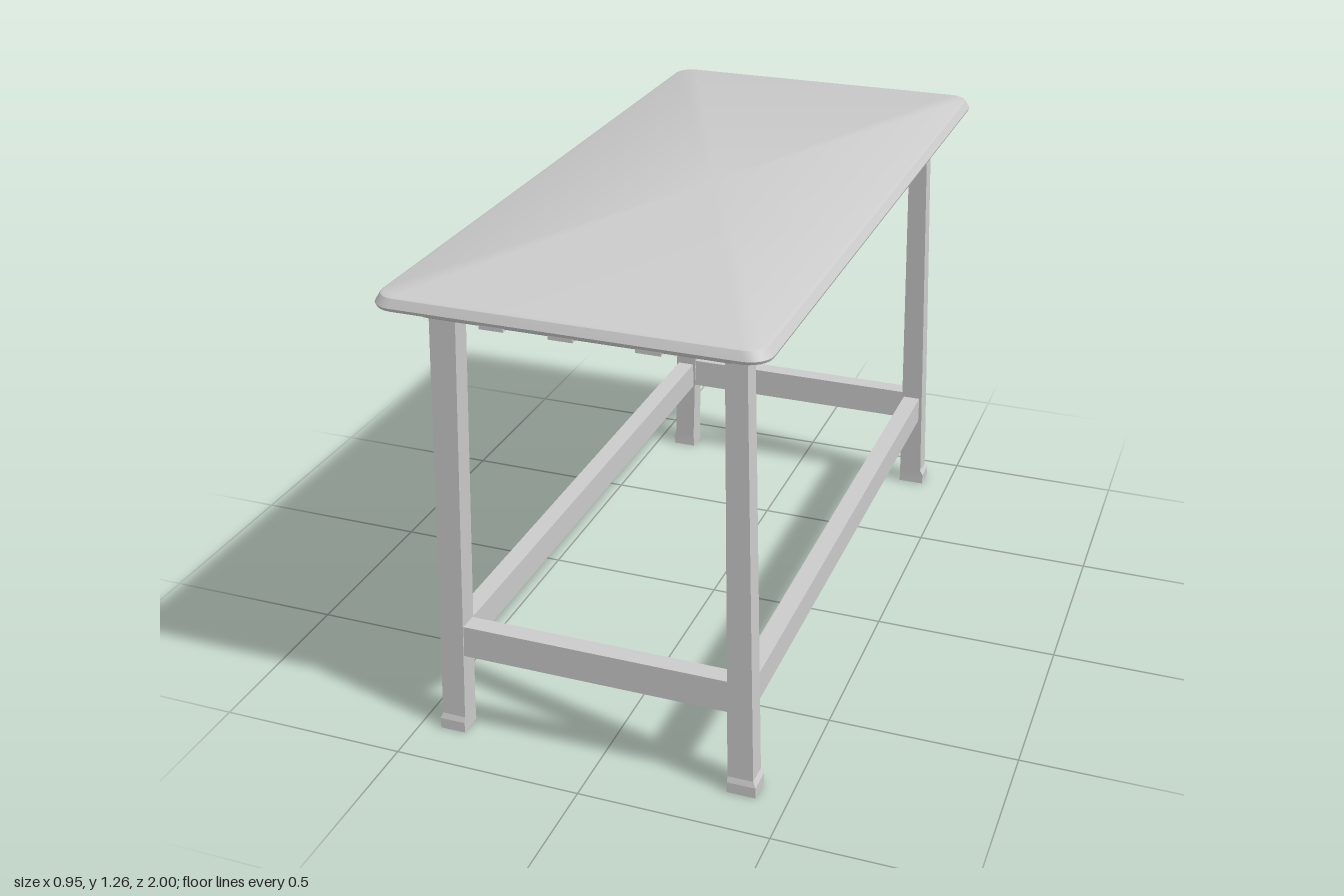
import * as THREE from 'three';
import { toCreasedNormals } from 'three/addons/utils/BufferGeometryUtils.js';

const material = new THREE.MeshStandardMaterial({ color: 0xcccccc });

// Lofts rounded-rectangle rings [halfX, halfZ, cornerRadius, y]
function loftRings(rings, cornerSteps = 6) {
  const positions = [], index = [];
  const n = 4 * (cornerSteps + 1);
  for (const [hx, hz, r, y] of rings) {
    for (let c = 0; c < 4; c++) {
      const sx = c === 0 || c === 3 ? 1 : -1;
      const sz = c < 2 ? 1 : -1;
      for (let k = 0; k <= cornerSteps; k++) {
        const a = (c + k / cornerSteps) * Math.PI / 2;
        positions.push(sx * (hx - r) + r * Math.cos(a), y, sz * (hz - r) + r * Math.sin(a));
      }
    }
  }
  for (let i = 0; i < rings.length - 1; i++) {
    for (let j = 0; j < n; j++) {
      const a = i * n + j, b = i * n + (j + 1) % n;
      index.push(a, b, a + n, b, b + n, a + n);
    }
  }
  const geometry = new THREE.BufferGeometry();
  geometry.setAttribute('position', new THREE.Float32BufferAttribute(positions, 3));
  geometry.setIndex(index);
  return toCreasedNormals(geometry, 0.5);
}

// Square post through sections { y, x: [min, max], z: [min, max] }, bottom to top
function postGeometry(sections) {
  const geometry = new THREE.BoxGeometry(1, 1, 1, 1, sections.length - 1, 1);
  const p = geometry.attributes.position;
  for (let i = 0; i < p.count; i++) {
    const s = sections[Math.round((p.getY(i) + 0.5) * (sections.length - 1))];
    p.setXYZ(i, s.x[p.getX(i) > 0 ? 1 : 0], s.y, s.z[p.getZ(i) > 0 ? 1 : 0]);
  }
  return toCreasedNormals(geometry, 0.3);
}

export function createModel() {
  const model = new THREE.Group();
  model.name = 'table';
  const add = (name, geometry, x = 0, y = 0, z = 0) => {
    const mesh = new THREE.Mesh(geometry, material);
    mesh.name = name;
    mesh.position.set(x, y, z);
    model.add(mesh);
    return mesh;
  };
  const box = (name, w, h, d, x, y, z) => add(name, new THREE.BoxGeometry(w, h, d), x, y, z);

  // Slab with a bevelled, undercut edge
  add('tabletop', loftRings([
    [0, 0, 0, 1.265], [0.455, 0.98, 0.045, 1.265], [0.463, 0.988, 0.05, 1.261],
    [0.475, 0.998, 0.055, 1.24], [0.472, 0.995, 0.055, 1.232],
    [0.45, 0.972, 0.05, 1.222], [0, 0, 0, 1.222],
  ]));

  // Hollow rim under the slab
  add('underFrame', loftRings([
    [0.432, 0.952, 0.05, 1.224], [0.426, 0.946, 0.05, 1.212], [0.412, 0.935, 0.045, 1.206],
    [0.402, 0.925, 0.04, 1.196], [0.37, 0.885, 0.03, 1.196], [0.36, 0.875, 0.03, 1.224],
  ]));

  // Straps and clips under the slab
  for (const s of [1, -1]) {
    box('crossStrap', 0.74, 0.012, 0.035, 0, 1.217, s * 0.66);
    for (const side of [1, -1]) box('strapClip', 0.055, 0.024, 0.06, side * 0.38, 1.202, s * 0.66);
    for (const x of [-0.2, -0.03, 0.18]) box('endClip', 0.06, 0.02, 0.06, x, 1.2, s * 0.9);
  }

  // Screw tips along both long sides
  const screw = new THREE.ConeGeometry(0.007, 0.036, 8).rotateX(Math.PI);
  for (const z of [0.47, 0.27, 0.06, -0.1, -0.32, -0.53]) {
    for (const x of [-0.31, 0.31]) add('screw', screw, x, 1.204, z);
  }

  // Splayed legs, each with a slightly wider foot
  const legX = {
    left: { foot: [0.345, 0.42], ankle: [0.345, 0.412], top: [0.335, 0.387] },
    right: { foot: [-0.443, -0.374], ankle: [-0.437, -0.374], top: [-0.39, -0.322] },
  };
  const legZ = {
    front: { foot: [0.805, 0.87], ankle: [0.805, 0.865], top: [0.81, 0.865] },
    back: { foot: [-0.905, -0.84], ankle: [-0.9, -0.839], top: [-0.832, -0.785] },
  };
  for (const [end, z] of Object.entries(legZ)) {
    for (const [side, x] of Object.entries(legX)) {
      const name = end + (side === 'left' ? 'Left' : 'Right') + 'Leg';
      add(name, postGeometry([
        { y: 0, x: x.foot, z: z.foot },
        { y: 0.03, x: x.foot, z: z.foot },
        { y: 0.045, x: x.ankle, z: z.ankle },
        { y: 1.222, x: x.top, z: z.top },
      ]));
    }
  }

  // Stretchers between the legs
  box('frontStretcher', 0.73, 0.088, 0.05, -0.007, 0.278, 0.836);
  box('backStretcher', 0.73, 0.088, 0.05, -0.007, 0.278, -0.858);
  box('leftStretcher', 0.05, 0.08, 1.66, 0.373, 0.27, -0.011);
  box('rightStretcher', 0.05, 0.08, 1.66, -0.395, 0.27, -0.011);

  return model;
}
